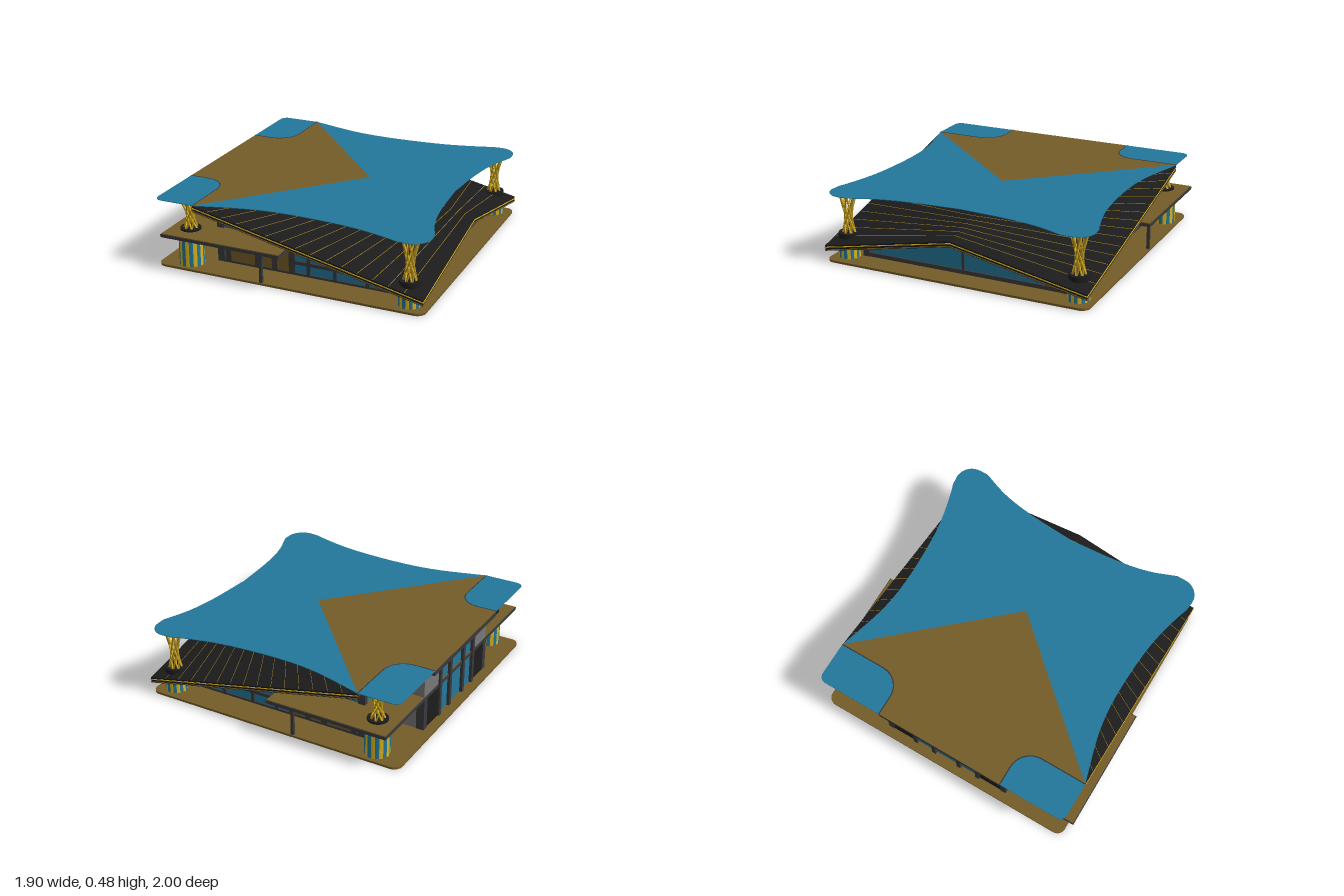
import * as THREE from 'three';

const mat = (c) => new THREE.MeshStandardMaterial({ color: c, side: THREE.DoubleSide });
const BLUE = mat(0x23779a), WOOD = mat(0x755c28), DARK = mat(0x3a3a3c), BLACK = mat(0x1c1c1c),
  GOLD = mat(0xdcb41e), STRUT = mat(0xa88420), GREY = mat(0x777777);
const TOP = 0.478, SLOPE = 0.222, THICK = 0.04;
// height of the sloping roof's top, and of the ceiling below it
const roofY = (x, z) => TOP - 0.006 - SLOPE * Math.max(0, x - 0.19 + 0.895 * Math.abs(z));
const ceilingY = (x, z) => roofY(x, z) - THICK + 0.003;

export function createModel() {
  const model = new THREE.Group();
  const add = (name, geo, material, x = 0, y = 0, z = 0) => {
    const m = new THREE.Mesh(geo, material);
    m.name = name;
    m.position.set(x, y, z);
    model.add(m);
    return m;
  };
  // box given by its limits
  const box = (name, material, x0, x1, y0, y1, z0, z1) =>
    add(name, new THREE.BoxGeometry(x1 - x0, y1 - y0, Math.abs(z1 - z0)), material,
      (x0 + x1) / 2, (y0 + y1) / 2, (z0 + z1) / 2);
  // horizontal plate from a plan outline of [x, z] points
  const plate = (name, material, pts, y0, y1, follow) => {
    const shape = new THREE.Shape(pts.map(([x, z]) => new THREE.Vector2(x, -z)));
    const geo = new THREE.ExtrudeGeometry(shape, { depth: y1 - y0, bevelEnabled: false });
    geo.rotateX(-Math.PI / 2).translate(0, y0, 0);
    if (follow) {
      const p = geo.attributes.position;
      for (let i = 0; i < p.count; i++) p.setY(i, p.getY(i) + roofY(p.getX(i), p.getZ(i)));
      geo.computeVertexNormals();
    }
    return add(name, geo, material);
  };
  const arc = (cx, cz, r, a0, a1, n = 10) => Array.from({ length: n + 1 }, (_, i) => {
    const a = a0 + (a1 - a0) * i / n;
    return [cx + r * Math.cos(a), cz + r * Math.sin(a)];
  });
  const spline = (pts, n = 18) => new THREE.CatmullRomCurve3(pts.map(([x, z]) => new THREE.Vector3(x, 0, z)))
    .getPoints(n).map((p) => [p.x, p.z]);
  const flip = (pts) => pts.map(([x, z]) => [x, -z]).reverse();
  const Q = Math.PI / 2;

  // ground plate and middle floor
  const ground = [];
  [[1, 1], [-1, 1], [-1, -1], [1, -1]].forEach(([sx, sz], i) =>
    ground.push(...arc(sx * 0.89, sz * 0.89, 0.06, i * Q, (i + 1) * Q)));
  plate('ground', WOOD, ground, 0, 0.015);
  box('middleFloor', DARK, -0.885, -0.015, 0.235, 0.256, -1, 1);
  box('balconyDeck', WOOD, -0.88, -0.02, 0.256, 0.26, -0.995, 0.995);

  // flat terrace with notched, rounded corners
  const notch = [[-0.95, 0.47], ...arc(-0.81, 0.62, 0.15, -Q, 0), [-0.66, 0.95]];
  const terrace = [...notch, [0.19, 0], ...flip(notch)];
  plate('terraceSlab', DARK, terrace, 0.44, 0.474);
  plate('terraceDeck', WOOD, terrace, 0.474, TOP);

  // flat canopy with scalloped edges
  const half = [...spline([[-0.66, 0.95], [-0.33, 0.86], [-0.12, 0.832], [0.15, 0.832], [0.45, 0.86], [0.7, 0.922], [0.76, 0.943]]),
    ...arc(0.83, 0.83, 0.12, Q, 0), ...spline([[0.95, 0.77], [0.88, 0.58], [0.84, 0.37], [0.81, 0]])];
  plate('canopy', BLUE, [...half, ...flip(half).slice(1), [0.19, 0]], 0.474, TOP);

  for (const s of [1, -1]) {
    const m = (pts) => pts.map(([x, z]) => [x, s * z]);
    plate('cornerCanopy', BLUE, m([...notch, ...arc(-0.9, 0.9, 0.05, Q, 2 * Q)]), 0.474, TOP);
    const rim = new THREE.CatmullRomCurve3(m(notch).map(([x, z]) => new THREE.Vector3(x, 0.477, z)));
    add('terraceRim', new THREE.TubeGeometry(rim, 40, 0.004, 5), DARK);

    // sloping roof, gold trim and brown soffit edge
    const roof = (e) => m([[-0.66, 0.95 + e], [0.95 + e, 0.95 + e], [0.95 + e, 0], [0.19, 0]]);
    plate('roof', BLACK, roof(0), -THICK, 0, true);
    plate('roofTrim', GOLD, roof(0.003), -0.017, -0.011, true);
    plate('roofLowerTrim', WOOD, roof(0.003), -0.036, -0.03, true);
    // roof seams, fanning from ridge to eave
    for (let i = 1; i < 15; i++) {
      const t = i / 15, xr = 0.19 + 0.74 * t, xe = -0.66 + 1.59 * t, w = 0.0015;
      plate('roofSeam', STRUT, m([[xr - w, 0], [xr + w, 0], [xe + w, 0.95], [xe - w, 0.95]]), 0, 0.0015, true);
    }

    // side wall: glass following the ceiling
    const zw = 0.73, zf = s * (zw + 0.015);
    const wall = new THREE.Shape([[-0.58, 0.015], [0.76, 0.015], [0.76, ceilingY(0.76, zw)],
      [-0.463, ceilingY(-0.463, zw)], [-0.58, 0.44]].map((p) => new THREE.Vector2(...p)));
    add('sideGlass', new THREE.ExtrudeGeometry(wall, { depth: 0.01, bevelEnabled: false }), BLUE, 0, 0, s * zw - 0.005);
    box('woodPanels', WOOD, -0.56, -0.06, 0.015, 0.235, s * zw, s * (zw + 0.01));
    for (const [x0, x1] of [[-0.6, -0.55], [-0.32, -0.275], [-0.07, -0.025], [0.06, 0.085], [0.25, 0.275], [0.48, 0.505]])
      box('sideMullion', DARK, x0, x1, 0.015, Math.min(0.44, ceilingY(x1, zw)), s * (zw - 0.02), zf);
    for (const x of [-0.52, -0.175])
      box('lowerMullion', DARK, x - 0.02, x + 0.02, 0.015, 0.235, s * (zw - 0.02), zf);
    box('sideTransom', DARK, -0.025, 0.76, 0.092, 0.115, s * (zw - 0.01), zf);
    box('sideSill', DARK, -0.58, 0.76, 0.015, 0.03, s * (zw - 0.01), zf);
    box('balconyPost', DARK, -0.185, -0.165, 0.015, 0.235, s * 0.925, s * 0.945);

    // gable end: glass half, corner pillar
    const gable = new THREE.Shape([[0, 0.03], [0.73, 0.03], [0.73, ceilingY(0.76, 0.73)], [0, ceilingY(0.76, 0)]]
      .map(([z, y]) => new THREE.Vector2(-s * z, y)));
    const g = new THREE.ExtrudeGeometry(gable, { depth: 0.01, bevelEnabled: false }).rotateY(Q);
    add('gableGlass', g, BLUE, 0.755);
    box('gablePillar', DARK, 0.745, 0.785, 0.015, ceilingY(0.785, 0.755), s * 0.71, s * 0.755);

    // end bay: grey side walls, corner posts, front panels
    box('bayWall', GREY, -0.87, -0.58, 0.015, 0.44, s * 0.45, s * 0.47);
    box('bayCornerPost', DARK, -0.886, -0.83, 0.015, 0.235, s * 0.43, s * 0.475);
    box('bayGreyPanel', GREY, -0.882, -0.87, 0.26, 0.44, s * 0.26, s * 0.47);
    box('bayLowerPanel', BLACK, -0.882, -0.87, 0.015, 0.235, s * 0.26, s * 0.43);
    for (const z of [0.1, 0.25])
      box('bayMullion', DARK, -0.895, -0.865, 0.015, 0.44, s * (z - 0.015), s * (z + 0.015));
    // set-back end wall beside the bay
    box('endWall', WOOD, -0.59, -0.575, 0.015, 0.235, s * 0.47, s * 0.73);
    box('endWindow', BLUE, -0.59, -0.575, 0.26, 0.44, s * 0.47, s * 0.73);
    box('endMullion', DARK, -0.6, -0.57, 0.015, 0.44, s * 0.585, s * 0.615);

    // striped drums with a twisted lattice column above each
    for (const [x, r, top, base] of [[-0.745, 0.085, 0.236, 0.26], [0.82, 0.074, 0.133, 0.165]]) {
      const z = s * 0.84, n = 20;
      for (let i = 0; i < n; i++)
        add('drumStripe', new THREE.CylinderGeometry(r, r, top - 0.015, 2, 1, true, i * 2 * Math.PI / n, 2 * Math.PI / n),
          i % 2 ? BLUE : GOLD, x, (top + 0.015) / 2, z);
      const disc = add('columnBase', new THREE.CylinderGeometry(0.07, 0.07, 0.012, 24), BLACK, x, base + 0.006, z);
      if (x > 0) {
        disc.scale.y = 3;
      }
      const hoop = add('columnHoop', new THREE.TorusGeometry(0.063, 0.005, 6, 24), DARK, x, 0.471, z);
      hoop.rotation.x = Q;
      for (const dir of [1, -1]) {
        for (let i = 0; i < 7; i++) {
          const a = i * 2 * Math.PI / 7, b = a + dir * 2.25;
          const from = new THREE.Vector3(x + 0.05 * Math.cos(a), base, z + 0.05 * Math.sin(a));
          const to = new THREE.Vector3(x + 0.064 * Math.cos(b), 0.474, z + 0.064 * Math.sin(b));
          add('columnStrut', new THREE.TubeGeometry(new THREE.LineCurve3(from, to), 1, 0.006, 6), dir > 0 ? GOLD : STRUT);
        }
      }
    }
  }

  // bay glass, gable sill and centre mullion
  box('bayGlass', BLUE, -0.875, -0.865, 0.015, 0.44, -0.26, 0.26);
  box('gableSill', DARK, 0.745, 0.78, 0.015, 0.042, -0.73, 0.73);
  box('gableMullion', DARK, 0.75, 0.775, 0.015, ceilingY(0.775, 0), -0.008, 0.008);
  return model;
}
